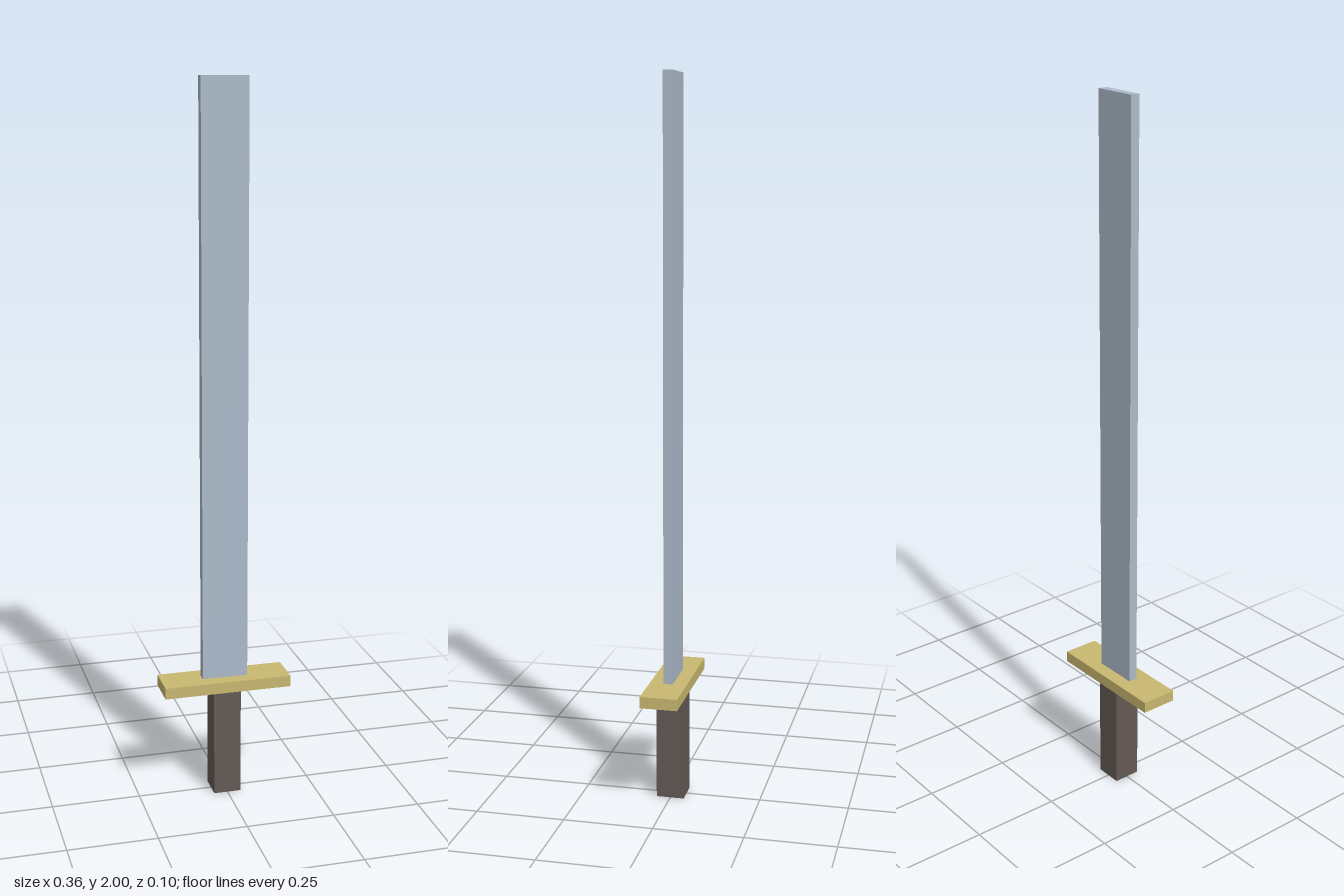
import * as THREE from 'three';

function material(name, color) {
  const m = new THREE.MeshStandardMaterial({ color });
  m.name = name;
  return m;
}

// Box centred on x and z, spanning bottom to top in y
function block(name, width, depth, bottom, top, mat) {
  const mesh = new THREE.Mesh(new THREE.BoxGeometry(width, top - bottom, depth), mat);
  mesh.name = name;
  mesh.position.y = (bottom + top) / 2;
  return mesh;
}

export function createModel() {
  const steel = material('steel', 0xadbaca);
  const brass = material('brass', 0xc9b870);
  const grip = material('dark grip', 0x645a55);

  const sword = new THREE.Group();
  sword.name = 'sword';
  sword.add(
    block('handle', 0.078, 0.078, 0, 0.312, grip),
    block('crossguard', 0.364, 0.104, 0.312, 0.344, brass),
    block('blade', 0.13, 0.026, 0.344, 2, steel),
  );
  return sword;
}
